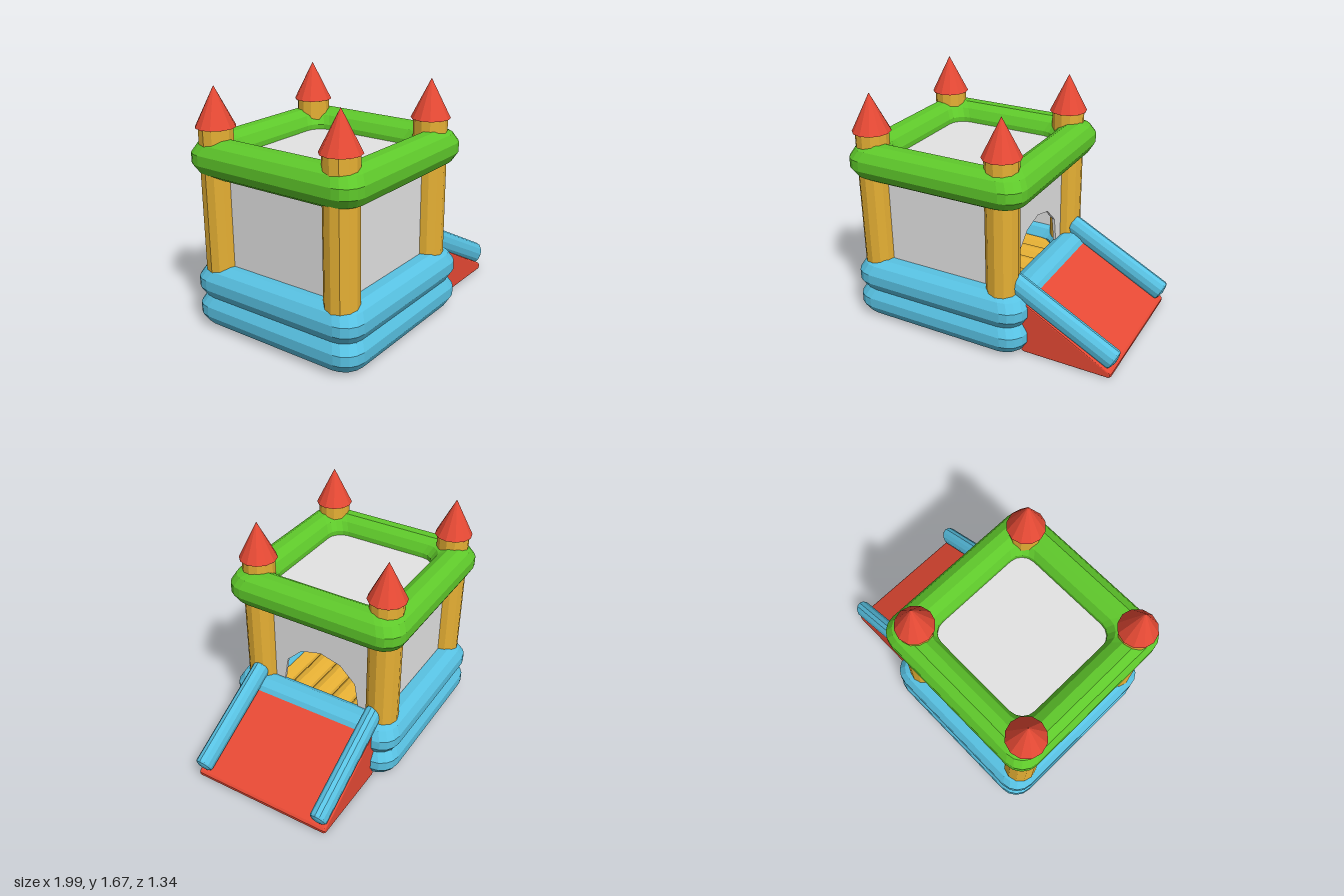
import * as THREE from 'three';

const mat = (name, color) => {
  const m = new THREE.MeshStandardMaterial({ color, flatShading: true });
  m.name = name;
  return m;
};

// Inflated square ring: twelve-sided tube swept between an outer and an inner rounded square
function ringGeometry() {
  const sides = 12, steps = 4, r = 0.131, rows = [], apothem = Math.cos(Math.PI / sides);
  const corner = (half, rad, q, t) => {
    const sx = q === 0 || q === 3 ? 1 : -1, sz = q < 2 ? 1 : -1;
    return [sx * (half - rad) + rad * Math.cos(t), sz * (half - rad) + rad * Math.sin(t)];
  };
  for (let q = 0; q < 4; q++) for (let s = 0; s <= steps; s++) {
    const t = (q + s / steps) * Math.PI / 2;
    rows.push([corner(0.672, 0.14, q, t), corner(0.425, 0.11, q, t)]);
  }
  const pos = [], idx = [], n = rows.length;
  rows.forEach(([o, i]) => {
    for (let j = 0; j < sides; j++) {
      const a = (j + 0.5) / sides * Math.PI * 2;
      const k = 0.5 + 0.5 * Math.cos(a) / apothem;
      pos.push(i[0] + (o[0] - i[0]) * k, r * Math.sin(a) / apothem, i[1] + (o[1] - i[1]) * k);
    }
  });
  for (let i = 0; i < n; i++) for (let j = 0; j < sides; j++) {
    const a = i * sides + j, b = i * sides + (j + 1) % sides;
    const c = ((i + 1) % n) * sides + j, d = ((i + 1) % n) * sides + (j + 1) % sides;
    idx.push(a, b, c, b, d, c);
  }
  const g = new THREE.BufferGeometry();
  g.setAttribute('position', new THREE.Float32BufferAttribute(pos, 3));
  g.setIndex(idx);
  g.computeVertexNormals();
  return g;
}

export function createModel() {
  const model = new THREE.Group();
  model.name = 'bouncyCastle';
  const red = mat('red', 0xe84a35), green = mat('green', 0x5fc92b), yellow = mat('yellow', 0xe6b034);
  const blue = mat('blue', 0x58c2e3), grey = mat('grey', 0xe4e4e4);
  const add = (name, geo, material, x = 0, y = 0, z = 0) => {
    const m = new THREE.Mesh(geo, material);
    m.name = name;
    m.position.set(x, y, z);
    model.add(m);
  };

  // Base and top rings
  const cx = -0.327, ring = ringGeometry();
  add('lowerBaseRing', ring, blue, cx, 0.136, 0);
  add('upperBaseRing', ring, blue, cx, 0.333, 0);
  add('topRing', ring, green, cx, 1.21, 0);

  // Corner towers with pointed roofs
  const xBack = -0.853, xDoor = 0.147, zSide = 0.5, xMid = (xBack + xDoor) / 2;
  const tower = new THREE.CylinderGeometry(0.116, 0.116, 1.12, 12);
  const cone = new THREE.ConeGeometry(0.134, 0.267, 12);
  for (const x of [xBack, xDoor]) for (const z of [-zSide, zSide]) {
    add('tower', tower, yellow, x, 0.86, z);
    add('towerRoof', cone, red, x, 1.546, z);
  }

  // Plain walls and roof sheet
  const t = 0.02;
  for (const z of [-zSide, zSide]) add('sideWall', new THREE.BoxGeometry(1, 0.86, t), grey, xMid, 0.78, z);
  add('farWall', new THREE.BoxGeometry(t, 0.86, 1), grey, xBack, 0.78, 0);
  add('roofSheet', new THREE.BoxGeometry(0.98, t, 0.98), grey, xMid, 1.2, 0);

  // Wall with an arched doorway
  const arch = [[-0.325, 0.35], [-0.28, 0.628], [-0.16, 0.745], [0, 0.788], [0.16, 0.745], [0.28, 0.628], [0.325, 0.35]];
  const wall = new THREE.Shape([[-0.5, 0.35], ...arch, [0.5, 0.35], [0.5, 1.21], [-0.5, 1.21]]
    .map(([x, y]) => new THREE.Vector2(x, y)));
  const doorGeo = new THREE.ExtrudeGeometry(wall, { depth: t, bevelEnabled: false });
  doorGeo.rotateY(Math.PI / 2);
  add('doorWall', doorGeo, grey, xDoor - t / 2, 0, 0);

  // Floor slab with padded tubes along x
  add('floorSlab', new THREE.BoxGeometry(1, 0.04, 1), grey, cx, 0.22, 0);
  const pad = new THREE.CylinderGeometry(0.086, 0.086, 1, 12).rotateZ(Math.PI / 2);
  for (let i = 0; i < 6; i++) add('floorTube', pad, yellow, cx, 0.274, (i - 2.5) * 0.17);

  // Slide wedge with a rounded foot
  const slide = new THREE.Shape([
    [0.295, 0.02], [0.31, 0.005], [0.938, 0.005], [0.955, 0.018], [0.957, 0.04], [0.945, 0.056], [0.92, 0.07], [0.295, 0.414],
  ].map(([x, y]) => new THREE.Vector2(x, y)));
  const slideGeo = new THREE.ExtrudeGeometry(slide, {
    depth: 1.022, bevelThickness: 0.016, bevelSize: 0.014, bevelOffset: -0.014, bevelSegments: 3,
  });
  add('slide', slideGeo, red, 0, 0, -0.511);

  // Slide side bolsters, flattened tubes with shallow domed ends
  const top = new THREE.Vector2(0.215, 0.519), foot = new THREE.Vector2(0.959, 0.125);
  const h = top.distanceTo(foot) / 2;
  const profile = [[0, -h - 0.014], [0.05, -h - 0.007], [0.074, -h + 0.002], [0.081, -h + 0.014],
    [0.081, h - 0.014], [0.074, h - 0.002], [0.05, h + 0.007], [0, h + 0.014]];
  const bar = new THREE.LatheGeometry(profile.map(([x, y]) => new THREE.Vector2(x, y)), 12);
  bar.scale(1, 1, 0.74);
  bar.rotateZ(Math.atan2(top.y - foot.y, top.x - foot.x) - Math.PI / 2);
  for (const z of [-0.475, 0.475]) {
    add('slideBolster', bar, blue, (top.x + foot.x) / 2, (top.y + foot.y) / 2, z);
  }
  return model;
}
